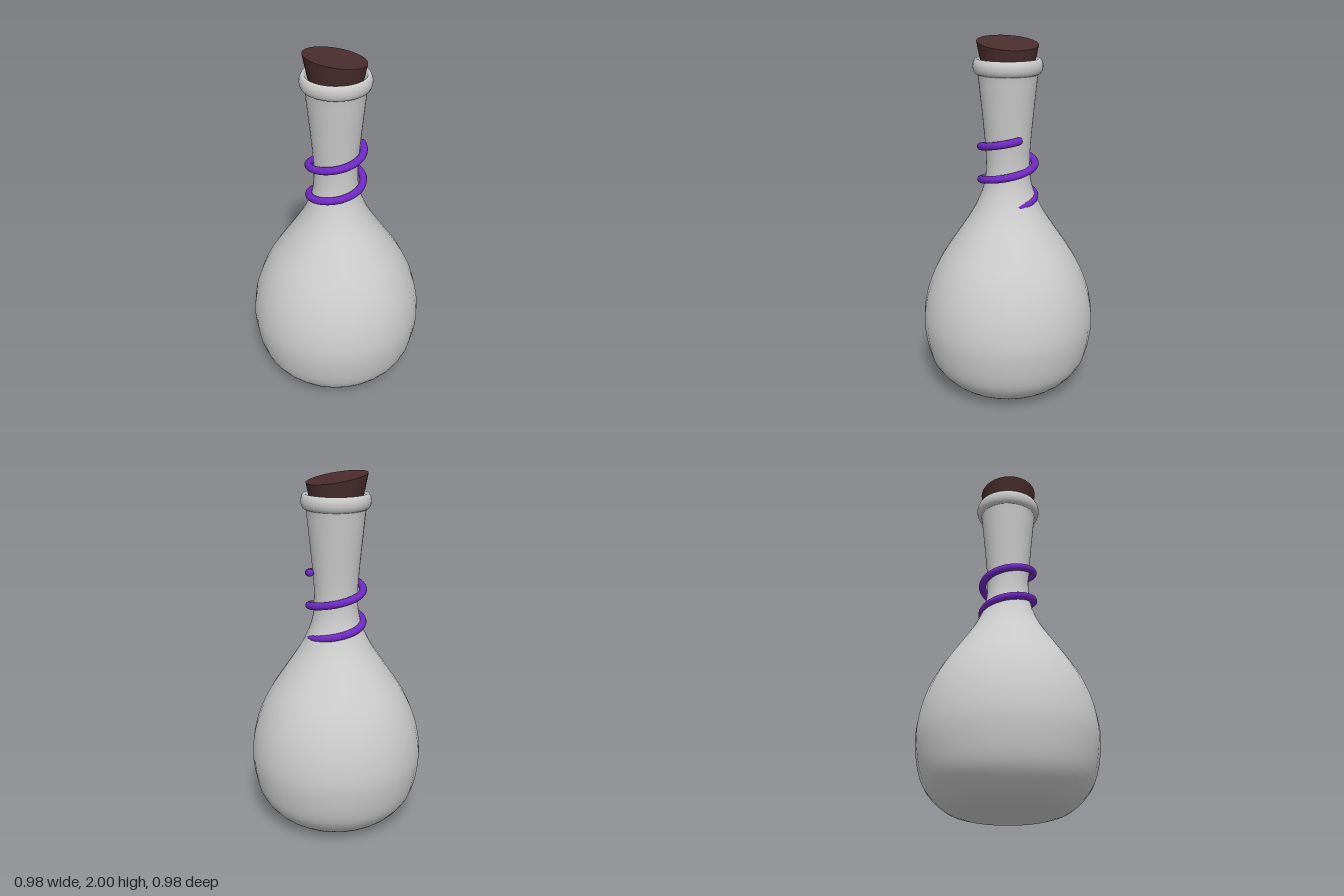
import * as THREE from 'three';

const SEGMENTS = 32;
const vec2 = ([x, y]) => new THREE.Vector2(x, y);

function part(name, geometry, color, side = THREE.FrontSide) {
  const mesh = new THREE.Mesh(geometry, new THREE.MeshStandardMaterial({ color, side }));
  mesh.name = name;
  return mesh;
}

// Helix around the neck: starts at +x and climbs by way of the back
class Helix extends THREE.Curve {
  constructor(radius, bottom, top, turns) {
    super();
    Object.assign(this, { radius, bottom, top, turns });
  }
  getPoint(t, target = new THREE.Vector3()) {
    const a = t * this.turns * Math.PI * 2;
    return target.set(
      this.radius * Math.cos(a),
      THREE.MathUtils.lerp(this.bottom, this.top, t),
      -this.radius * Math.sin(a)
    );
  }
}

// Bulb and flaring neck, then the rolled lip and the inside of the mouth
function bottleGeometry() {
  const body = new THREE.SplineCurve([
    [0.25, 0], [0.32, 0.024], [0.4, 0.09], [0.46, 0.19], [0.491, 0.37], [0.478, 0.52],
    [0.44, 0.65], [0.38, 0.775], [0.295, 0.905], [0.205, 1.04], [0.155, 1.14],
    [0.13, 1.22], [0.121, 1.31], [0.124, 1.42], [0.14, 1.6], [0.161, 1.808],
  ].map(vec2)).getPoints(60);
  const lip = new THREE.SplineCurve([
    [0.163, 1.81], [0.178, 1.818], [0.187, 1.84], [0.187, 1.866], [0.178, 1.888],
    [0.168, 1.892], [0.16, 1.885], [0.15, 1.86], [0.134, 1.825],
  ].map(vec2)).getPoints(28);
  return new THREE.LatheGeometry([vec2([0, 0]), ...body, ...lip], SEGMENTS);
}

// Tapered stopper whose top is cut on a slant
function corkGeometry() {
  const bottom = 1.82, top = 1.972, taper = 0.2, radius = 0.165;
  const height = top - bottom;
  const geometry = new THREE.CylinderGeometry(radius, radius - taper * height, height, SEGMENTS);
  geometry.translate(0, (top + bottom) / 2, 0);
  const p = geometry.attributes.position;
  for (let i = 0; i < p.count; i++) {
    if (p.getY(i) < top - 0.001) continue;
    const rise = -p.getX(i) / 6;
    const k = 1 + (rise * taper) / radius;
    p.setXYZ(i, p.getX(i) * k, top + rise, p.getZ(i) * k);
  }
  geometry.computeVertexNormals();
  return geometry;
}

export function createModel() {
  const model = new THREE.Group();
  model.add(part('bottle', bottleGeometry(), 0xcccccc, THREE.DoubleSide));
  model.add(part('cork', corkGeometry(), 0x4a2d2d));

  // Cord with rounded ends
  const cord = new THREE.Group();
  cord.name = 'cord';
  const purple = 0x7029c4, thickness = 0.021;
  const path = new Helix(0.149, 1.105, 1.475, 2);
  cord.add(part('cordCoil', new THREE.TubeGeometry(path, 96, thickness, 12), purple));
  for (const t of [0, 1]) {
    const end = part('cordEnd', new THREE.SphereGeometry(thickness, 12, 8), purple);
    end.position.copy(path.getPoint(t));
    cord.add(end);
  }
  model.add(cord);
  return model;
}
